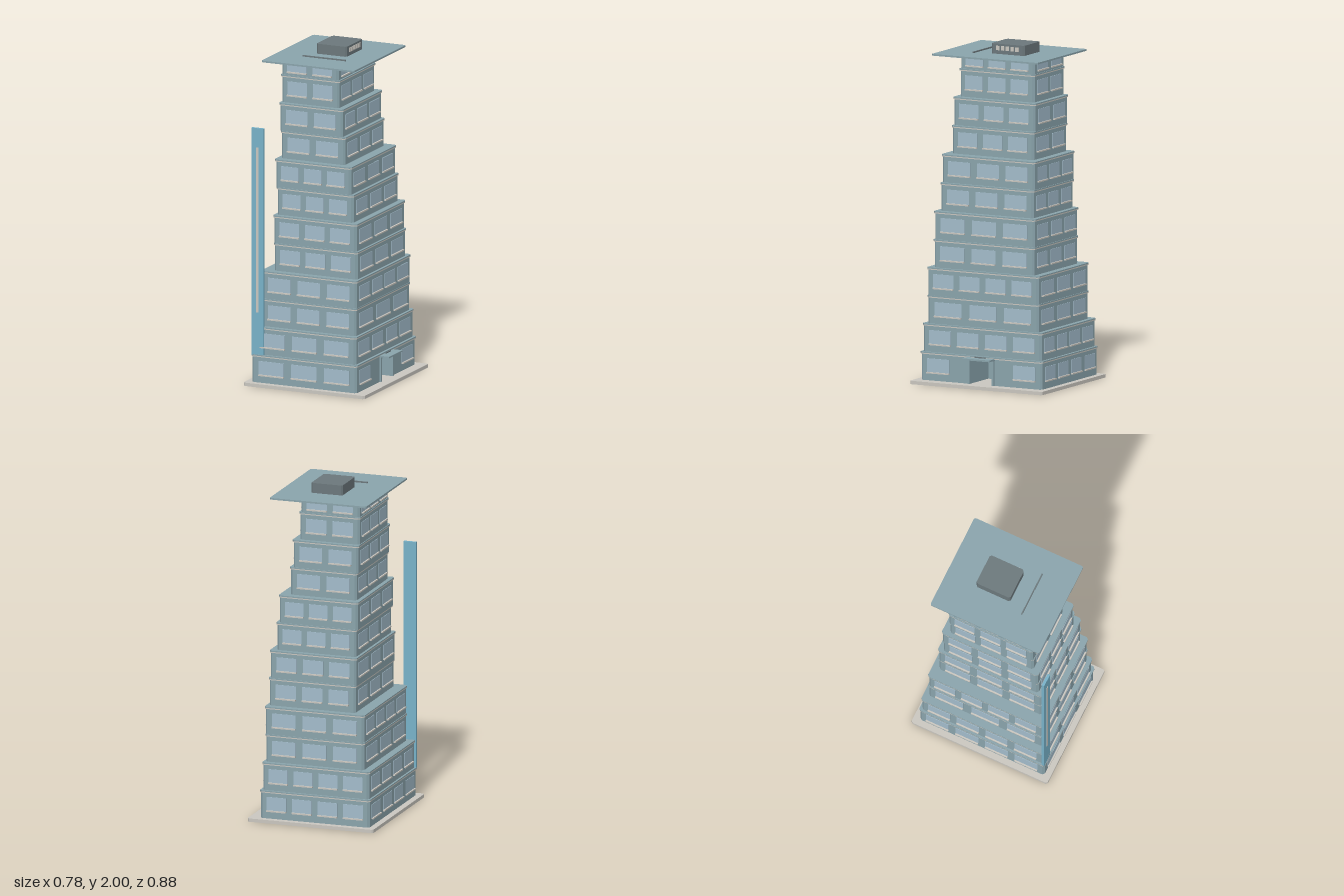
import * as THREE from 'three';

const mat = (name, color) => Object.assign(new THREE.MeshStandardMaterial({ color }), { name });

export function createModel() {
  const model = new THREE.Group();
  model.name = 'steppedTower';
  const wall = mat('greyTealWall', 0x8aa4ac);
  const glass = mat('paleBlueGlass', 0xa3bccb);
  const stone = mat('warmStone', 0xcac7c0);
  const fin = mat('blueFin', 0x78b2c9);
  const dark = mat('darkGreyPlant', 0x6c787c);

  const add = (parent, name, geometry, material) => {
    const m = new THREE.Mesh(geometry, material);
    m.name = name;
    parent.add(m);
    return m;
  };
  // Box given by its limits on each axis
  const box = (parent, name, [x0, x1], [y0, y1], [z0, z1], material) => {
    const m = add(parent, name, new THREE.BoxGeometry(x1 - x0, y1 - y0, z1 - z0), material);
    m.position.set((x0 + x1) / 2, (y0 + y1) / 2, (z0 + z1) / 2);
    return m;
  };
  // Flat prism with chamfered corners; an optional doorway notch cuts the +x side
  const slab = (parent, name, [x0, x1], [y0, y1], hz, c, material, notch) => {
    const pts = [[x0 + c, -hz], [x1 - c, -hz], [x1, -hz + c]];
    if (notch) {
      const { depth, half } = notch;
      pts.push([x1, -half], [x1 - depth, -half], [x1 - depth, half], [x1, half]);
    }
    pts.push([x1, hz - c], [x1 - c, hz], [x0 + c, hz], [x0, hz - c], [x0, -hz + c]);
    const shape = new THREE.Shape(pts.map(([x, y]) => new THREE.Vector2(x, y)));
    const g = new THREE.ExtrudeGeometry(shape, { depth: y1 - y0, bevelEnabled: false });
    g.rotateX(-Math.PI / 2);
    const m = add(parent, name, g, material);
    m.position.y = y0;
    return m;
  };

  // A row of windows with sills along one face, built facing +z and turned into place
  const windowRow = (parent, name, width, count, y, h, px, pz, turn, skip = () => false) => {
    const row = new THREE.Group();
    row.name = name;
    const pitch = (width - 0.04) / count, w = pitch * 0.77;
    for (let i = 0; i < count; i++) {
      if (skip(i)) continue;
      const x = (i - (count - 1) / 2) * pitch;
      box(row, 'window', [x - w / 2, x + w / 2], [y, y + h], [-0.002, 0.003], glass);
      box(row, 'sill', [x - w / 2, x + w / 2], [y - 0.008, y], [-0.002, 0.012], stone);
    }
    row.position.set(px, 0, pz);
    row.rotation.y = turn;
    parent.add(row);
  };

  slab(model, 'basePlate', [-0.39, 0.39], [0, 0.02], 0.44, 0.01, stone);

  // Storeys: left x, right x, half depth, windows on front, back and sides
  const storeys = [
    [-0.352, 0.322, 0.402, 3, 4, 4],
    [-0.345, 0.312, 0.392, 3, 4, 4],
    [-0.305, 0.302, 0.368, 3, 3, 3],
    [-0.305, 0.305, 0.368, 3, 3, 4],
    [-0.24, 0.293, 0.332, 3, 3, 3],
    [-0.245, 0.287, 0.332, 3, 3, 3],
    [-0.235, 0.255, 0.307, 3, 3, 3],
    [-0.245, 0.24, 0.307, 3, 3, 3],
    [-0.225, 0.184, 0.27, 2, 2, 3],
    [-0.235, 0.168, 0.27, 2, 2, 3],
    [-0.235, 0.135, 0.246, 2, 2, 3],
    [-0.235, 0.13, 0.246, 2, 2, 3],
  ];
  const rise = 0.1655;
  const doorHalf = 0.075, doorTop = 0.162;
  storeys.forEach(([x0, x1, hz, front, back, side], i) => {
    const storey = new THREE.Group();
    storey.name = `storey${i + 1}`;
    model.add(storey);
    const last = i === storeys.length - 1;
    const y0 = 0.02 + i * rise;
    const y1 = last ? 1.93 : y0 + rise;
    const c = 0.012;
    if (i === 0) {
      slab(storey, 'groundWalls', [x0, x1], [y0, doorTop], hz, c, wall, { depth: 0.22, half: doorHalf });
      slab(storey, 'lintelBand', [x0, x1], [doorTop, y1], hz, c, wall);
    } else {
      slab(storey, 'walls', [x0, x1], [y0, y1], hz, c, wall);
    }
    // Ledge: stone string course under a wall coloured cap
    if (!last) {
      const e = 0.005;
      slab(storey, 'stringCourse', [x0 - e, x1 + e], [y1 - 0.011, y1 - 0.005], hz + e, c, stone);
      slab(storey, 'ledgeCap', [x0 - e, x1 + e], [y1 - 0.005, y1 + 0.002], hz + e, c, wall);
    }
    const wy = y0 + (last ? 0.024 : 0.05), wh = last ? 0.055 : 0.08;
    const cx = (x0 + x1) / 2, w = x1 - x0;
    windowRow(storey, 'frontWindows', w, front, wy, wh, cx, hz, 0);
    windowRow(storey, 'backWindows', w, back, wy, wh, cx, -hz, Math.PI);
    windowRow(storey, 'leftWindows', hz * 2, side, wy, wh, x1, 0, Math.PI / 2,
      (k) => i === 0 && (k === 1 || k === 2));
    windowRow(storey, 'rightWindows', hz * 2, side, wy, wh, x0, 0, -Math.PI / 2);
  });

  // Entrance: jambs, header and canopy round the open doorway
  const entrance = new THREE.Group();
  entrance.name = 'entrance';
  model.add(entrance);
  for (const s of [-1, 1]) {
    const z = s * (doorHalf + 0.006);
    box(entrance, 'doorJamb', [0.315, 0.332], [0.02, 0.17], [z - 0.007, z + 0.007], wall);
  }
  box(entrance, 'doorHeader', [0.315, 0.332], [doorTop - 0.004, 0.17], [-0.088, 0.088], wall);
  box(entrance, 'canopy', [0.315, 0.386], [0.168, 0.178], [-0.09, 0.09], wall);
  box(entrance, 'canopyRib', [0.335, 0.338], [0.178, 0.185], [-0.035, 0.035], dark);

  // Tall fin standing at the front corner, with an inlaid strip
  box(model, 'cornerFin', [-0.354, -0.276], [0.18, 1.545], [0.388, 0.404], fin);
  box(model, 'finStrip', [-0.322, -0.307], [0.44, 1.43], [0.403, 0.407], stone);

  // Overhanging roof with plant box, louvres and a low rail
  slab(model, 'roofPlate', [-0.315, 0.284], [1.93, 1.94], 0.352, 0.008, wall);
  const plant = new THREE.Group();
  plant.name = 'roofPlant';
  model.add(plant);
  slab(plant, 'plantBox', [-0.098, 0.096], [1.94, 2], 0.11, 0.01, dark);
  for (let i = 0; i < 5; i++) {
    const z = (i - 2) * 0.032;
    box(plant, 'louvre', [0.094, 0.1], [1.962, 1.988], [z - 0.011, z + 0.011], stone);
  }
  plant.position.z = -0.05;
  box(model, 'roofRail', [-0.14, 0.138], [1.94, 1.948], [0.152, 0.159], dark);

  return model;
}
